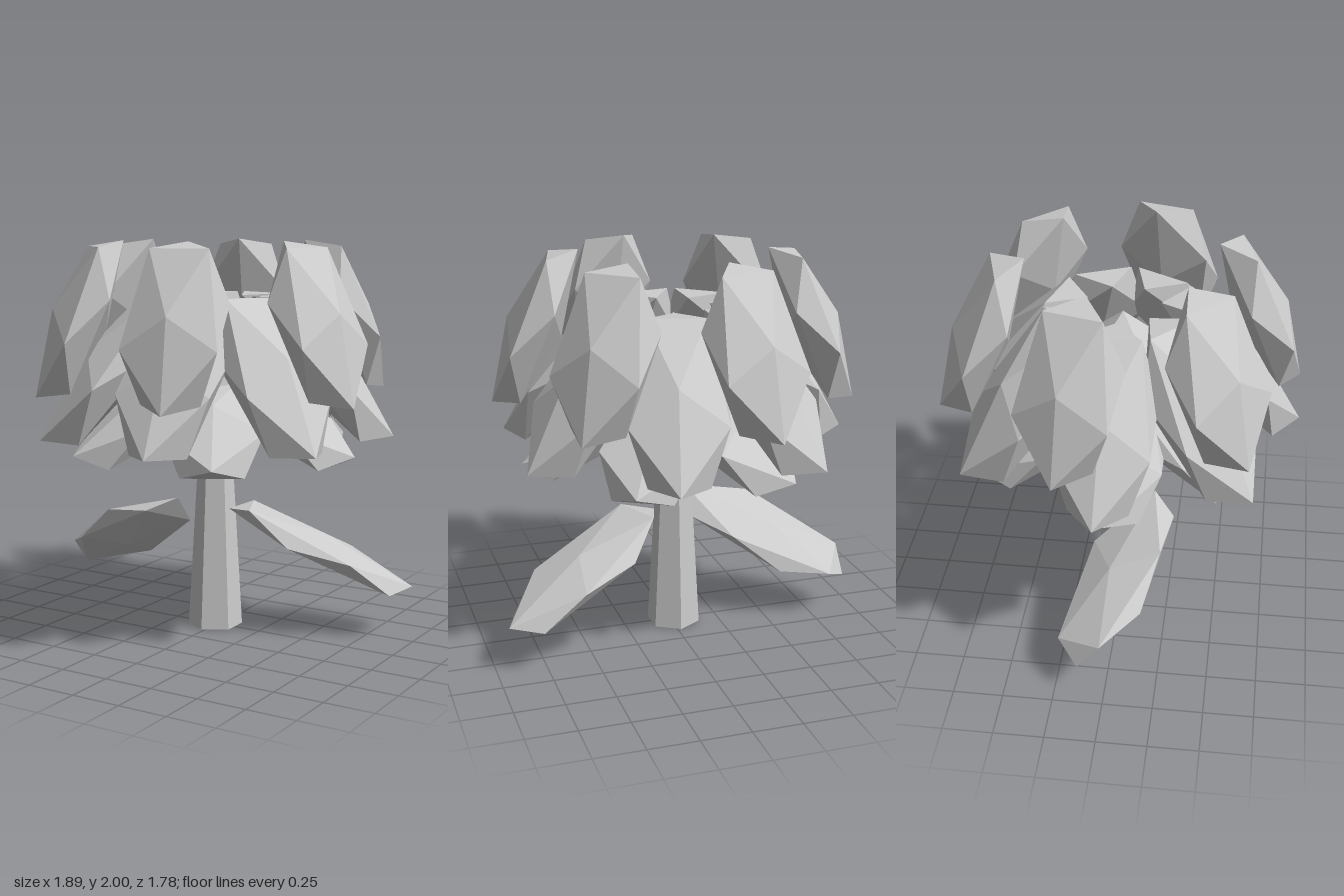
import * as THREE from 'three';

const mat = new THREE.MeshStandardMaterial({ color: 0xcccccc, flatShading: true });
const rad = THREE.MathUtils.degToRad;

// Icosahedron with a corner on +z, stretched to half-sizes: width, length, thickness
function blade(w, l, t, roll = 0) {
  const g = new THREE.IcosahedronGeometry(1, 0);
  g.rotateX(Math.atan(2 / (1 + Math.sqrt(5))));
  g.scale(w, l, t);
  g.rotateY(rad(roll));
  return g;
}

// Faces a blade towards an azimuth (degrees from +x to +z) and leans its lower end outwards
function place(name, geometry, x, y, z, azimuth, tilt) {
  const m = new THREE.Mesh(geometry, mat);
  m.name = name;
  m.position.set(x, y, z);
  m.rotation.set(rad(-tilt), rad(90 - azimuth), 0, 'YXZ');
  return m;
}

// A ring of equal petals around the stem axis
function petalRing(name, o) {
  const ring = new THREE.Group();
  ring.name = name;
  const g = blade(o.w, o.l, o.t);
  for (let i = 0; i < o.count; i++) {
    const a = o.start + (360 / o.count) * i;
    ring.add(place('petal', g, o.r * Math.cos(rad(a)), o.y, o.r * Math.sin(rad(a)), a, o.tilt));
  }
  return ring;
}

export function createModel() {
  const model = new THREE.Group();
  model.name = 'flower';

  const bloom = new THREE.Group();
  bloom.name = 'bloom';
  bloom.position.set(-0.018, 0, -0.008);
  model.add(bloom);

  // Three tiers of petals, steeper towards the top
  bloom.add(
    petalRing('lowerPetals', { count: 6, start: 0, r: 0.4, y: 1.117, tilt: 61, w: 0.29, l: 0.47, t: 0.12 }),
    petalRing('middlePetals', { count: 7, start: 28.3, r: 0.549, y: 1.368, tilt: 38.5, w: 0.28, l: 0.557, t: 0.15 }),
    petalRing('upperPetals', { count: 6, start: 14.3, r: 0.695, y: 1.615, tilt: 22, w: 0.275, l: 0.494, t: 0.144 })
  );

  // Tall heart of the flower, reaching down to the stem
  const heart = new THREE.Mesh(blade(0.3, 0.3, 0.385).rotateX(-Math.PI / 2).rotateY(Math.PI / 2), mat);
  heart.name = 'heart';
  heart.position.y = 1.295;
  bloom.add(heart);

  // Six-sided tapering stem
  const stem = new THREE.Mesh(new THREE.CylinderGeometry(0.09, 0.14, 0.88, 6), mat);
  stem.name = 'stem';
  stem.position.y = 0.44;
  bloom.add(stem);

  // Two drooping leaves, the right one turned end for end and twisted backwards
  model.add(
    place('leftLeaf', blade(0.25, 0.568, 0.076), 0.508, 0.44, -0.18, -24.6, 64),
    place('rightLeaf', blade(0.255, 0.56, 0.076, 18.4), -0.54, 0.44, 0.02, 22, 116.6)
  );
  return model;
}
